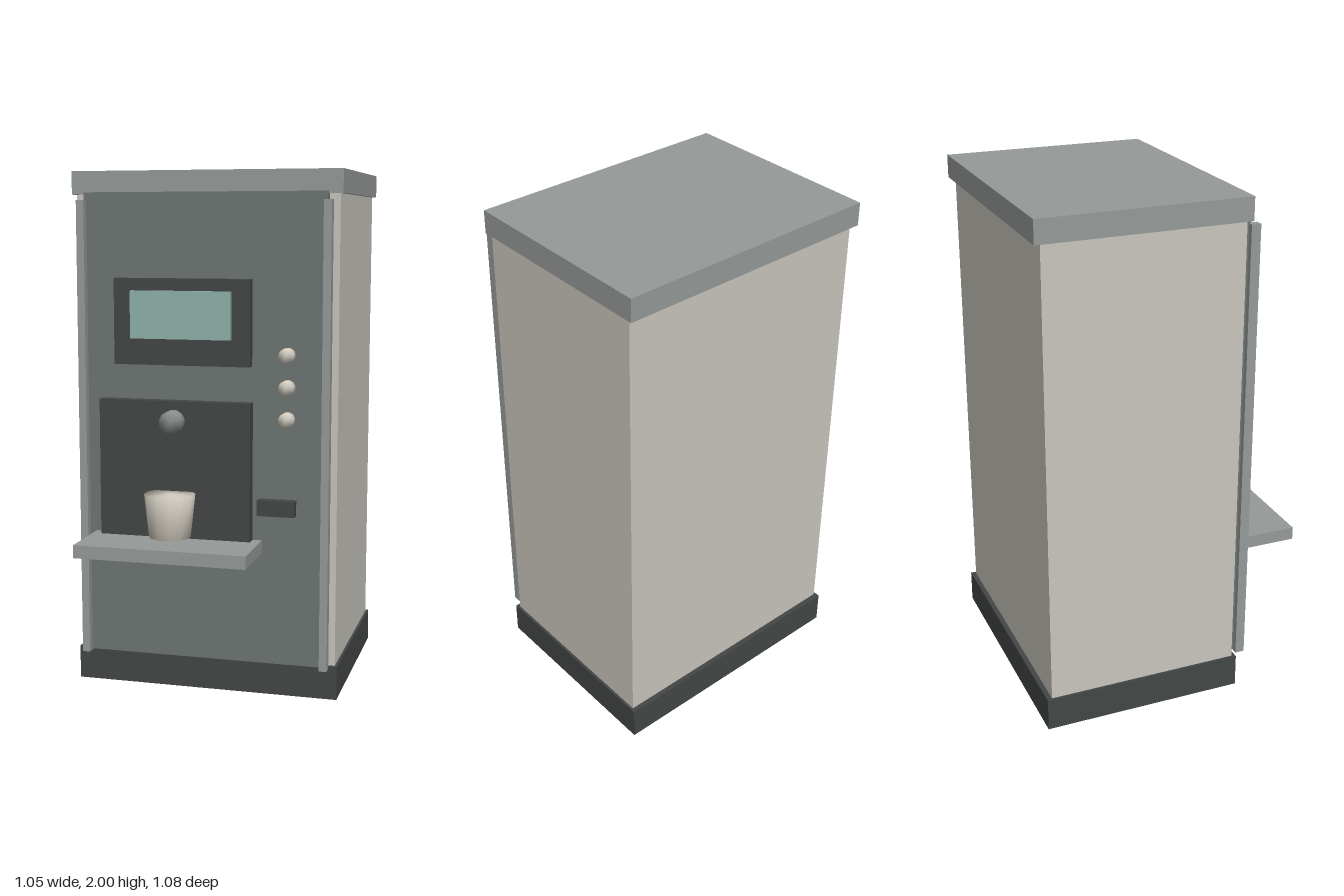
import * as THREE from 'three';
import { mergeVertices } from 'three/addons/utils/BufferGeometryUtils.js';

const material = (color) => new THREE.MeshStandardMaterial({ color });

export function createModel() {
  const group = new THREE.Group();
  const trim = material(0x969a99);
  const dark = material(0x434745);
  const door = material(0x6e7673);
  const cream = material(0xc9c6bd);
  const glass = material(0x90b2aa);
  const ivory = material(0xd6d0c4);
  const metal = material(0x8a8e8e);

  const add = (name, geometry, mat) => {
    const mesh = new THREE.Mesh(geometry, mat);
    mesh.name = name;
    group.add(mesh);
    return mesh;
  };
  // Box given by its extents along each axis
  const box = (name, mat, [x0, x1], [y0, y1], [z0, z1]) =>
    add(name, new THREE.BoxGeometry(x1 - x0, y1 - y0, z1 - z0), mat)
      .position.set((x0 + x1) / 2, (y0 + y1) / 2, (z0 + z1) / 2);
  // Low-sided cylinder with normals blended across its rims
  const softCylinder = (rTop, rBottom, height) => {
    const g = new THREE.CylinderGeometry(rTop, rBottom, height, 12);
    g.rotateY(Math.PI / 12);
    g.deleteAttribute('normal');
    g.deleteAttribute('uv');
    const merged = mergeVertices(g);
    merged.computeVertexNormals();
    return merged;
  };
  // Round knob facing forward
  const knob = (name, mat, r, x, y, z0, z1) =>
    add(name, softCylinder(r, r, z1 - z0).rotateX(Math.PI / 2), mat)
      .position.set(x, y, (z0 + z1) / 2);

  // Cabinet
  box('base', dark, [-0.52, 0.52], [0, 0.13], [-0.535, 0.26]);
  box('cabinet', cream, [-0.51, 0.51], [0.13, 1.912], [-0.515, 0.245]);
  box('roof', trim, [-0.523, 0.523], [1.912, 2], [-0.54, 0.264]);
  box('frontPanel', door, [-0.47, 0.47], [0.13, 1.92], [0.24, 0.28]);
  for (const s of [-1, 1]) {
    const xs = [s * 0.46, s * 0.49].sort((a, b) => a - b);
    box(s > 0 ? 'leftRail' : 'rightRail', trim, xs, [0.125, 1.89], [0.273, 0.31]);
  }

  // Display
  box('screenFrame', dark, [-0.34, 0.19], [1.275, 1.6], [0.278, 0.318]);
  box('screen', glass, [-0.27, 0.12], [1.375, 1.555], [0.31, 0.338]);

  // Dispensing area
  box('dispenserPanel', dark, [-0.4, 0.193], [0.613, 1.14], [0.278, 0.325]);
  box('tray', trim, [-0.435, 0.23], [0.563, 0.613], [0.278, 0.538]);
  knob('nozzle', metal, 0.044, -0.104, 1.064, 0.29, 0.373);
  add('cup', softCylinder(0.097, 0.079, 0.165), ivory).position.set(-0.104, 0.713, 0.381);

  // Controls
  for (const y of [1.08, 1.2, 1.32]) knob('button', ivory, 0.029, 0.327, y, 0.278, 0.32);
  box('coinSlot', dark, [0.218, 0.362], [0.715, 0.775], [0.278, 0.318]);

  return group;
}
